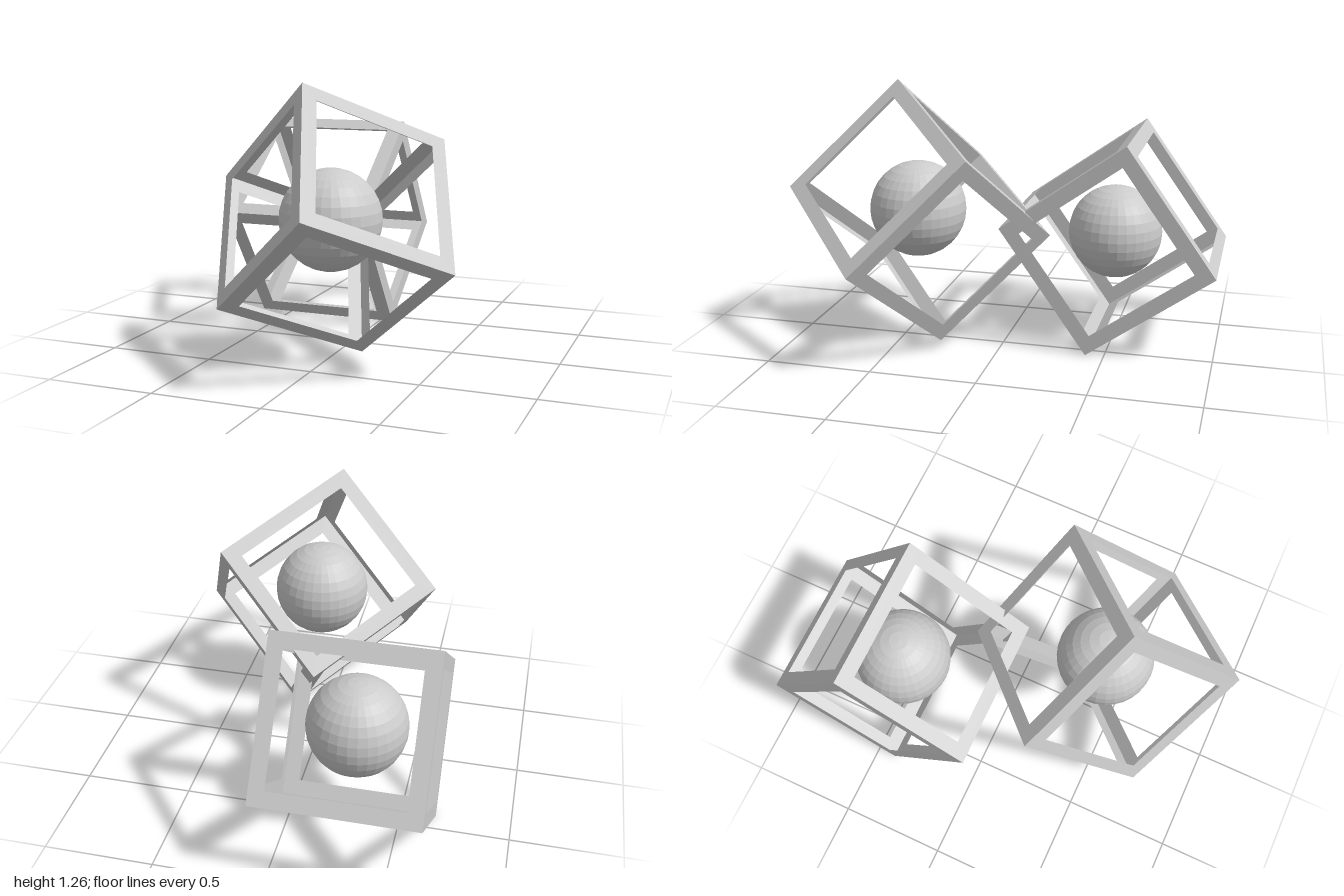
import * as THREE from 'three';

const SIDE = 0.724, BAR = 0.07, RADIUS = 0.227;
const ballMaterial = new THREE.MeshStandardMaterial({ color: 0xcccccc, flatShading: true });
const frameMaterial = new THREE.MeshStandardMaterial({
  color: 0xcccccc, flatShading: true, side: THREE.DoubleSide,
});

// Corners of a centred square
function square(size) {
  const h = size / 2;
  return [[-h, -h], [h, -h], [h, h], [-h, h]].map(([x, y]) => new THREE.Vector2(x, y));
}

// Hollow cube: six thin sheets, each with a square window
function cubeFrame(name) {
  const frame = new THREE.Group();
  frame.name = name;
  const shape = new THREE.Shape(square(SIDE));
  shape.holes.push(new THREE.Path(square(SIDE - 2 * BAR)));
  const geometry = new THREE.ShapeGeometry(shape).translate(0, 0, SIDE / 2);
  const q = Math.PI / 2;
  const turns = {
    frontFace: [0, 0], leftFace: [0, q], backFace: [0, 2 * q],
    rightFace: [0, -q], topFace: [-q, 0], bottomFace: [q, 0],
  };
  for (const [face, [rx, ry]] of Object.entries(turns)) {
    const sheet = new THREE.Mesh(geometry, frameMaterial);
    sheet.name = face;
    sheet.rotation.set(rx, ry, 0);
    frame.add(sheet);
  }
  return frame;
}

// Faceted ball with its poles upright
function ball(name, x, y, z) {
  const mesh = new THREE.Mesh(new THREE.SphereGeometry(RADIUS, 32, 16), ballMaterial);
  mesh.name = name;
  mesh.position.set(x, y, z);
  return mesh;
}

export function createModel() {
  const model = new THREE.Group();
  model.name = 'cagedBalls';

  // Rear cube, tipped about the x axis
  const rear = cubeFrame('rearCubeFrame');
  rear.position.set(-0.298, 0.506, -0.497);
  rear.rotation.x = THREE.MathUtils.degToRad(35.5);

  // Front cube, balanced towards a corner: its three edge directions
  const front = cubeFrame('frontCubeFrame');
  const u = new THREE.Vector3(-0.195, 0.4995, -0.4825).normalize();
  const v = new THREE.Vector3(0.48, -0.2636, -0.467);
  v.addScaledVector(u, -v.dot(u)).normalize();
  const w = new THREE.Vector3().crossVectors(u, v);
  front.quaternion.setFromRotationMatrix(new THREE.Matrix4().makeBasis(u, v, w));
  front.position.set(0.067, 0.652, 0.392);

  model.add(rear, front,
    ball('rearBall', -0.297, 0.515, -0.488),
    ball('frontBall', 0.058, 0.664, 0.4));
  return model;
}
